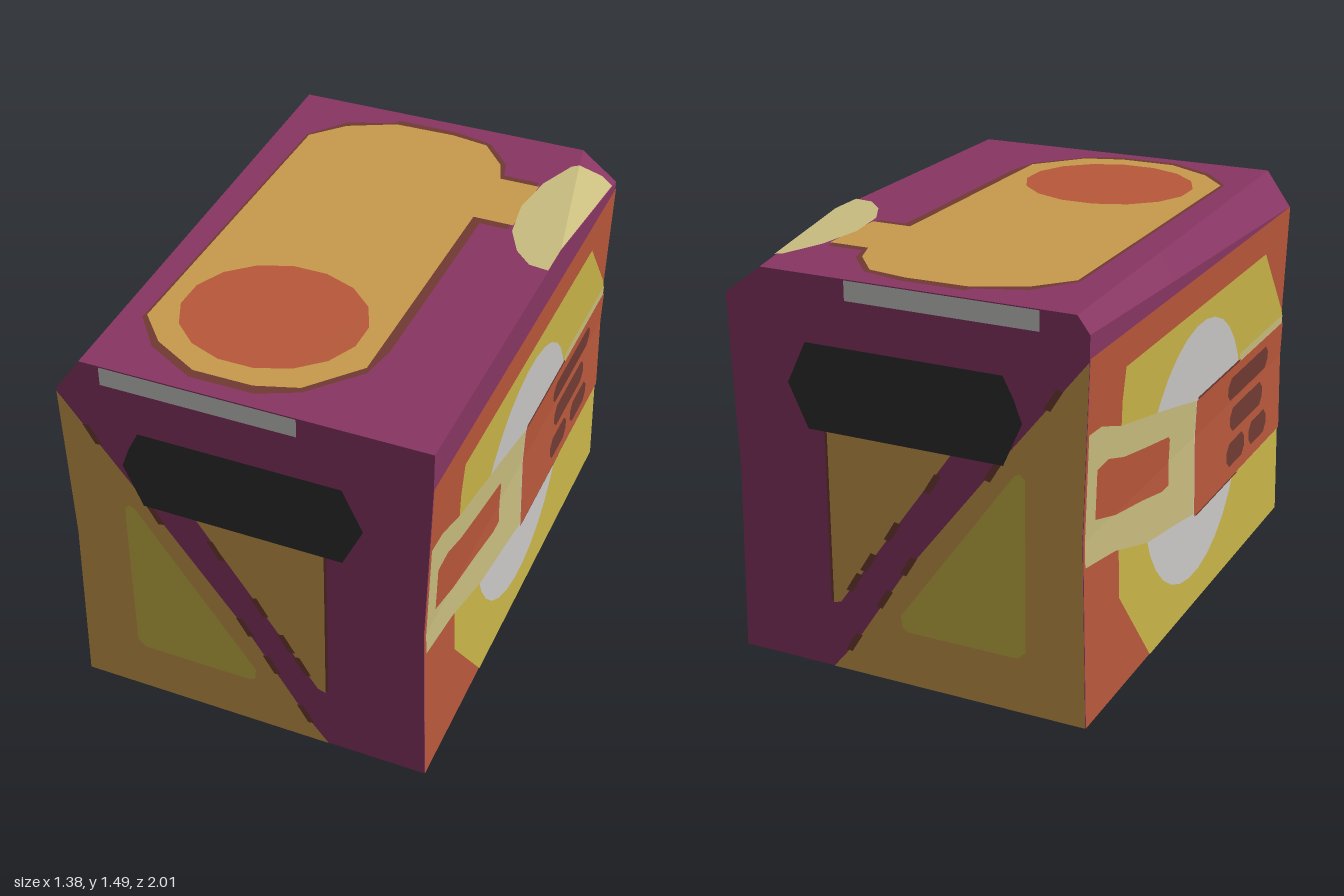
import * as THREE from 'three';

const mat = (name, color, extra = {}) => {
  const m = new THREE.MeshStandardMaterial({ color });
  m.name = name;
  return Object.assign(m, extra);
};

const H = 1.48, W = 0.685, KINK = 0.7, PINCH = 0.667, LAYER = 0.002;

// Half width of the slightly pinched side walls at height y
const halfWidth = (y) => y < KINK
  ? W + (PINCH - W) * (y / KINK)
  : PINCH + (W - PINCH) * Math.min(1, (y - KINK) / (1.34 - KINK));

// Height of the bevel at the rear top corner
const bevelY = (x, z) => H - 0.11 * ((x - W) / 0.145 + (-0.27 - z) / 0.73);

// Each face maps 2D drawing coordinates to 3D, lifted outward by e
const faces = {
  front: { out: [0, 0, 1], map: (x, y, e) => [x, y, 1 + e] },
  back: { out: [0, 0, -1], map: (x, y, e) => [x, y, -1 - e] },
  left: { out: [1, 0, 0], fold: true, map: (z, y, e) => [halfWidth(y) + e, y, z] },
  right: { out: [-1, 0, 0], fold: true, map: (z, y, e) => [-halfWidth(y) - e, y, -z] },
  top: { out: [0, 1, 0], map: (x, z, e) => [x, H + e, z] },
  bottom: { out: [0, -1, 0], map: (x, z, e) => [x, -e, -z] },
  bevel: { out: [0, 1, 0], map: (x, z, e) => [x, bevelY(x, z) + e, z] },
};

// Keep the part of an outline above (s = 1) or below (s = -1) the wall fold
function clip(pts, s) {
  const res = [];
  pts.forEach((p, i) => {
    const q = pts[(i + 1) % pts.length];
    const a = s * (p[1] - KINK), b = s * (q[1] - KINK);
    if (a >= 0) res.push(p);
    if ((a > 0 && b < 0) || (a < 0 && b > 0)) {
      const t = a / (a - b);
      res.push([p[0] + (q[0] - p[0]) * t, KINK]);
    }
  });
  return res;
}

function meshFrom(positions, material, name) {
  const g = new THREE.BufferGeometry();
  g.setAttribute('position', new THREE.Float32BufferAttribute(positions, 3));
  g.computeVertexNormals();
  const m = new THREE.Mesh(g, material);
  m.name = name;
  return m;
}

// Thin painted panel on a face
function panel(faceName, name, pts, material, layer) {
  const f = faces[faceName], pos = [], out = new THREE.Vector3(...f.out);
  const pieces = f.fold ? [clip(pts, 1), clip(pts, -1)] : [pts];
  for (const piece of pieces) {
    if (piece.length < 3) continue;
    const flat = piece.map((p) => new THREE.Vector2(...p));
    for (const tri of THREE.ShapeUtils.triangulateShape(flat, [])) {
      const v = tri.map((i) => new THREE.Vector3(...f.map(...piece[i], layer * LAYER)));
      const n = v[1].clone().sub(v[0]).cross(v[2].clone().sub(v[0]));
      if (n.dot(out) < 0) v.reverse();
      v.forEach((p) => pos.push(p.x, p.y, p.z));
    }
  }
  return meshFrom(pos, material, name);
}

const rect = (a, b, c, d) => [[a, b], [c, b], [c, d], [a, d]];
const ellipse = (cx, cy, rx, ry, n) => Array.from({ length: n }, (_, i) => {
  const t = (i + 0.5) / n * Math.PI * 2;
  return [cx + rx * Math.cos(t), cy + ry * Math.sin(t)];
});
// Rounded slot outline
const slot = (a, b, c, d) => {
  const r = 0.03;
  return new THREE.Shape([[a + r, b], [c - r, b], [c, b + r], [c, d - r], [c - r, d], [a + r, d], [a, d - r], [a, b + r]]
    .map((p) => new THREE.Vector2(...p))).getPoints().map((p) => [p.x, p.y]);
};
// Small worn chip lying along the diagonal stripe
const chip = ([x, y]) => [[x - 0.035, y + 0.035], [x - 0.01, y + 0.04], [x + 0.035, y - 0.035], [x + 0.01, y - 0.04]];

// Crate shell lofted from three cross-sections
function shell(material) {
  const section = (z, a, b, c, d) => [
    [-W, 0], [W, 0], [PINCH, KINK], [W, 1.34], [W, a], [b, H], [c, H], [-W, d], [-W, 1.34], [-PINCH, KINK],
  ].map(([x, y]) => [x, y, z]);
  const s = [section(1, H, W, -0.585, 1.34), section(-0.27, H, W, -0.62, 1.39), section(-1, 1.37, 0.54, -0.64, 1.42)];
  const pos = [];
  for (let k = 0; k < 2; k++) {
    for (let i = 0; i < 10; i++) {
      const j = (i + 1) % 10;
      const A = s[k][i], B = s[k][j], C = s[k + 1][j], D = s[k + 1][i];
      pos.push(...A, ...D, ...C, ...A, ...C, ...B);
    }
  }
  // End caps as fans around a centre point
  [[s[0], 1], [s[2], -1]].forEach(([ring, z]) => ring.forEach((p, i) => {
    const q = ring[(i + 1) % 10];
    pos.push(0, KINK, z, ...(z > 0 ? [...p, ...q] : [...q, ...p]));
  }));
  return meshFrom(pos, material, 'crateShell');
}

export function createModel() {
  const purple = mat('purple', 0x873562), gold = mat('gold', 0xc8994c), yellow = mat('yellow', 0xc8b448);
  const beige = mat('beige', 0xc8bc7e), grey = mat('lightGrey', 0xc8c7c5), black = mat('charcoal', 0x2d2d2d);
  const red = mat('rustRed', 0xb8583a), brown = mat('brown', 0x703a33);

  const model = new THREE.Group();
  model.name = 'crate';
  model.add(shell(purple));

  const decorate = (face, list) => {
    const g = new THREE.Group();
    g.name = face + 'Panel';
    list.forEach(([name, pts, m, layer]) => g.add(panel(face, name, pts, m, layer)));
    model.add(g);
  };

  // Front and back: gold corner, diagonal stripe, dark handle plate
  const chips = [[-0.56, 1.18], [-0.34, 0.89], [-0.01, 0.47], [0.09, 0.32], [0.22, 0.12],
    [-0.11, 0.8], [0.05, 0.59], [0.15, 0.45], [0.21, 0.36]];
  const endArt = [
    ['goldCorner', [[-W, 0], [0.31, 0], [0.22, 0.11], [0, 0.45], [-0.4, 0.97], [-W, 1.33], [-PINCH, KINK]], gold, 1],
    ['innerTriangle', [[-0.19, 0.93], [0.3, 0.93], [0.3, 0.26], [0.27, 0.27], [0, 0.66]], gold, 1],
    ['triangleEdge', rect(0.3, 0.27, 0.31, 0.93), brown, 1],
    ...chips.map((c) => ['stripeChip', chip(c), brown, 2]),
    ['yellowTriangle', [[-0.46, 0.88], [-0.44, 0.9], [-0.42, 0.89], [0.025, 0.27], [0.02, 0.225], [0, 0.21],
      [-0.43, 0.21], [-0.46, 0.24]], yellow, 2],
    ['handlePlate', [[-0.45, 1.08], [-0.42, 1.16], [-0.38, 1.237], [0.37, 1.237], [0.445, 1.08], [0.37, 0.92],
      [-0.38, 0.92]], black, 3],
    ['topLabel', rect(-0.51, 1.405, 0.21, 1.477), grey, 1],
  ];
  decorate('front', endArt);
  decorate('back', endArt);

  // Long sides: drawn as (z, y)
  const sideArt = [
    ['redWall', rect(-1, 0, 1, 1.34), red, 1],
    ['yellowField', [[0.7, 1.215], [-0.72, 1.215], [-0.99, 0.9], [-1, 0.88], [-1, 0], [0.43, 0], [0.71, 0.36],
      [0.72, 1.1]], yellow, 2],
    ['whiteDisc', ellipse(-0.01, 0.64, 0.5, 0.51, 32), grey, 3],
    ['ventBorder', rect(-1, 0.368, -0.48, 0.875), beige, 3],
    ['ventShadow', rect(-0.48, 0.366, -0.02, 0.853), brown, 4],
    ['ventPanel', rect(-1, 0.375, 0, 0.845), red, 5],
    ['arm', [[1, 1.08], [0.9, 1.075], [0.73, 1.015], [0.35, 0.93], [0.2, 0.895], [0, 0.845], [0, 0.385], [0.19, 0.42],
      [0.46, 0.465], [0.75, 0.56], [1, 0.605]], beige, 4],
    ['armSlot', [[0.925, 0.93], [0.835, 0.935], [0.7, 0.89], [0.51, 0.85], [0.28, 0.805], [0.265, 0.79], [0.265, 0.61],
      [0.33, 0.61], [0.51, 0.65], [0.75, 0.695], [0.925, 0.75]], red, 5],
    ...[[-0.82, 0.71, -0.35, 0.805], [-0.765, 0.57, -0.385, 0.67], [-0.555, 0.43, -0.35, 0.53], [-0.82, 0.43, -0.61, 0.53]]
      .map((r) => ['ventSlot', slot(...r), brown, 6]),
  ];
  decorate('left', sideArt);
  decorate('right', sideArt);

  // Top and bottom: drawn as (x, z)
  const lidArt = [
    ['lidShadow', [[-0.51, -0.69], [-0.4, -0.84], [-0.22, -0.91], [-0.21, -0.935], [0.03, -0.935], [0.19, -0.9],
      [0.3, -0.77], [0.32, -0.69], [0.46, -0.69], [0.46, -0.33], [0.35, -0.33], [0.35, 0.55], [0.325, 0.69],
      [0.17, 0.87], [0.03, 0.935], [-0.21, 0.935], [-0.4, 0.83], [-0.51, 0.69]], brown, 1],
    ['lidPad', [[-0.5, -0.685], [-0.39, -0.81], [-0.21, -0.9], [0.03, -0.905], [0.18, -0.88], [0.28, -0.76],
      [0.315, -0.66], [0.47, -0.66], [0.47, -0.36], [0.315, -0.36], [0.315, 0.665], [0.16, 0.85], [0.01, 0.9],
      [-0.21, 0.9], [-0.39, 0.8], [-0.5, 0.675]], gold, 2],
    ['lidDisc', ellipse(-0.095, 0.51, 0.335, 0.31, 16), red, 3],
  ];
  const tabEdge = [[0.54, -0.85], [0.48, -0.69], [0.455, -0.5], [0.48, -0.32], [0.54, -0.2], [0.61, -0.13], [W, -0.12]];
  decorate('top', [...lidArt, ['sideTab', [[0.565, -0.87], ...tabEdge, [W, -0.27]], beige, 3]]);
  decorate('bottom', [...lidArt, ['sideTab', [[W, -0.94], [0.64, -0.94], ...tabEdge], beige, 3]]);
  decorate('bevel', [['bevelTab', [[W, -0.27], [0.565, -0.87], [0.64, -0.94], [W, -0.94]], beige, 3]]);

  return model;
}
